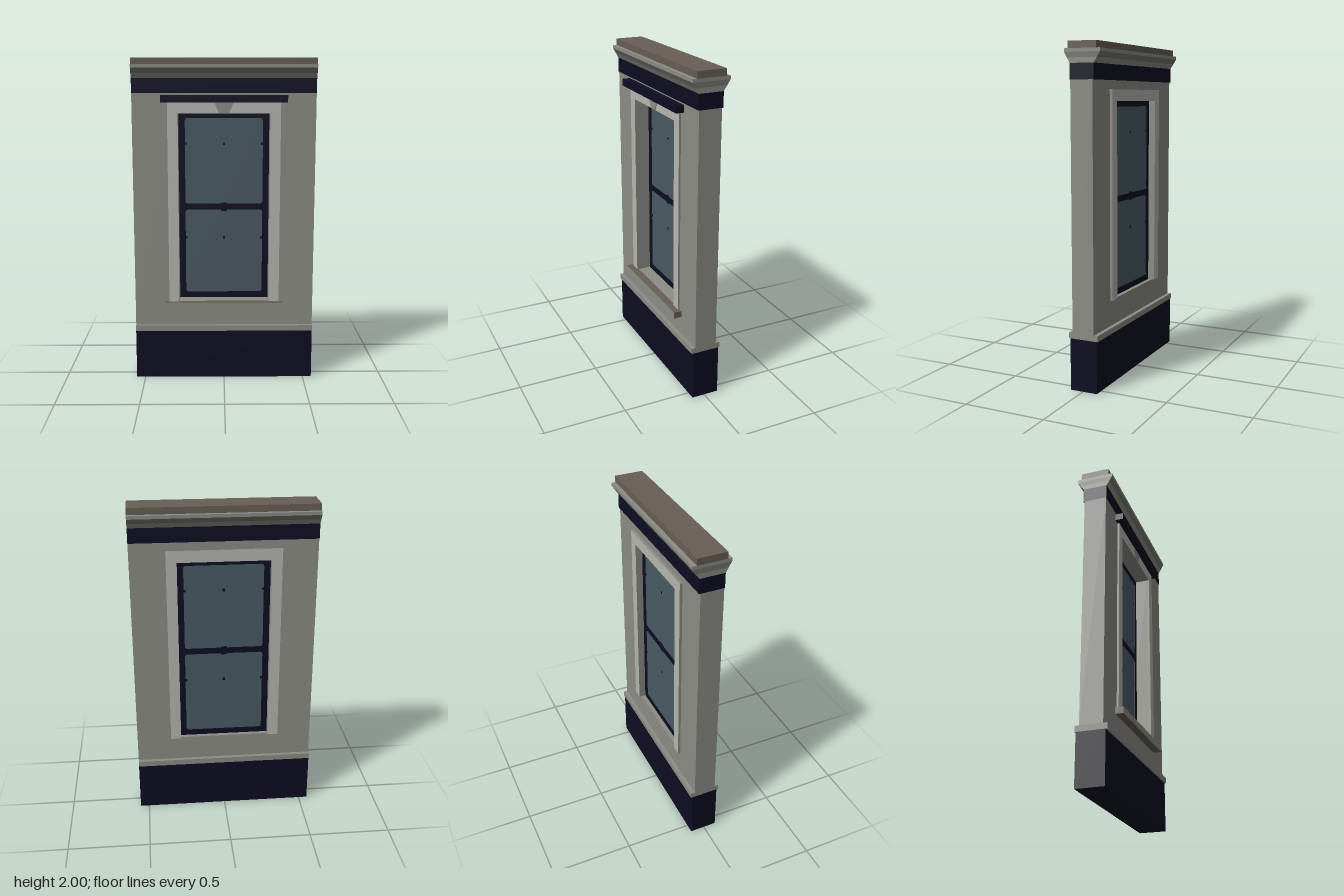
import * as THREE from 'three';

const material = (name, color) => {
  const m = new THREE.MeshStandardMaterial({ color });
  m.name = name;
  return m;
};

export function createModel() {
  const model = new THREE.Group();
  model.name = 'windowWall';

  const plaster = material('plaster grey', 0x8c8d85);
  const casing = material('casing pale grey', 0xb6b6b1);
  const navy = material('navy paint', 0x0d0d22);
  const glass = material('glass blue grey', 0x4a5b63);
  const stone = material('brown stone', 0x685e55);
  const shade = material('moulding grey', 0x74756d);

  const HALF = 0.555;

  const add = (name, geometry, mat) => {
    const mesh = new THREE.Mesh(geometry, mat);
    mesh.name = name;
    model.add(mesh);
    return mesh;
  };
  // Box given by its limits on each axis
  const box = (name, x0, x1, y0, y1, z0, z1, mat) => {
    const g = new THREE.BoxGeometry(x1 - x0, y1 - y0, z1 - z0);
    g.translate((x0 + x1) / 2, (y0 + y1) / 2, (z0 + z1) / 2);
    return add(name, g, mat);
  };
  const polygon = (pts) => new THREE.Shape(pts.map((p) => new THREE.Vector2(p[0], p[1])));
  const rect = (x0, x1, y0, y1) => polygon([[x0, y0], [x1, y0], [x1, y1], [x0, y1]]);
  // Upright plate extruded between two depths
  const plate = (name, shape, z0, z1, mat) => {
    const g = new THREE.ExtrudeGeometry(shape, { depth: z1 - z0, bevelEnabled: false, curveSegments: 4 });
    g.translate(0, 0, z0);
    return add(name, g, mat);
  };
  // Moulding: a (z, y) profile run along the full width
  const moulding = (name, pts, mat) => {
    const g = new THREE.ExtrudeGeometry(polygon(pts), { depth: HALF * 2, bevelEnabled: false });
    g.rotateY(-Math.PI / 2);
    g.translate(HALF, 0, 0);
    return add(name, g, mat);
  };

  // Plinth and its cap
  box('plinth', -HALF, HALF, 0, 0.31, -0.09, 0.08, navy);
  box('plinthCap', -HALF, HALF, 0.31, 0.345, -0.097, 0.09, plaster);

  // Wall with the window opening
  const wall = rect(-HALF, HALF, 0.345, 1.79);
  wall.holes.push(rect(-0.278, 0.278, 0.5, 1.67));
  plate('wall', wall, -0.072, 0.066, plaster);

  // Frieze, flared cornice and coping
  box('frieze', -HALF, HALF, 1.79, 1.88, -0.08, 0.07, navy);
  moulding('corniceLower', [[-0.08, 1.88], [0.07, 1.88], [0.087, 1.91], [-0.1, 1.91]], plaster);
  moulding('corniceUpper', [[-0.1, 1.91], [0.087, 1.91], [0.104, 1.94], [-0.12, 1.94]], shade);
  box('corniceLip', -HALF, HALF, 1.94, 1.96, -0.12, 0.104, plaster);
  box('coping', -HALF, HALF, 1.96, 2, -0.096, 0.08, stone);

  // Three-sided casing on both faces of the wall
  const surround = polygon([
    [-0.342, 0.5], [-0.278, 0.5], [-0.278, 1.67], [0.278, 1.67],
    [0.278, 0.5], [0.342, 0.5], [0.342, 1.738], [-0.342, 1.738],
  ]);
  plate('frontCasing', surround, 0.066, 0.078, [casing, plaster]);
  plate('backCasing', surround, -0.088, -0.072, [casing, plaster]);
  plate('keystone', polygon([[-0.03, 1.672], [0.03, 1.672], [0.058, 1.737], [-0.058, 1.737]]), 0.078, 0.081, plaster);

  // Hood and sill
  box('hood', -0.38, 0.38, 1.738, 1.78, 0.066, 0.115, navy);
  box('sill', -0.367, 0.367, 0.46, 0.5, 0.066, 0.115, [stone, stone, stone, stone, plaster, stone]);

  // Sash frame with two softly cornered lights
  const light = (x, y0, y1, r) => {
    const p = new THREE.Path();
    p.moveTo(-x + r, y0);
    p.lineTo(x - r, y0);
    p.quadraticCurveTo(x, y0, x, y0 + r);
    p.lineTo(x, y1 - r);
    p.quadraticCurveTo(x, y1, x - r, y1);
    p.lineTo(-x + r, y1);
    p.quadraticCurveTo(-x, y1, -x, y1 - r);
    p.lineTo(-x, y0 + r);
    p.quadraticCurveTo(-x, y0, -x + r, y0);
    return p;
  };
  const sash = rect(-0.278, 0.278, 0.5, 1.67);
  sash.holes.push(light(0.24, 0.537, 1.068, 0.018), light(0.24, 1.105, 1.637, 0.018));
  plate('sashFrame', sash, -0.045, -0.015, navy);
  box('glassPane', -0.26, 0.26, 0.52, 1.65, -0.042, -0.018, glass);

  // Small dark marks on the glass and sash edges
  for (const y of [0.89, 1.48]) {
    for (const x of [-0.236, 0, 0.236]) {
      for (const z of [-0.0425, -0.0175]) {
        box('glassMark', x - 0.007, x + 0.007, y - 0.008, y + 0.008, z - 0.001, z + 0.001, navy);
      }
    }
  }
  box('meetingRailCatch', -0.018, 0.018, 1.06, 1.113, -0.0445, -0.0155, navy);

  return model;
}
